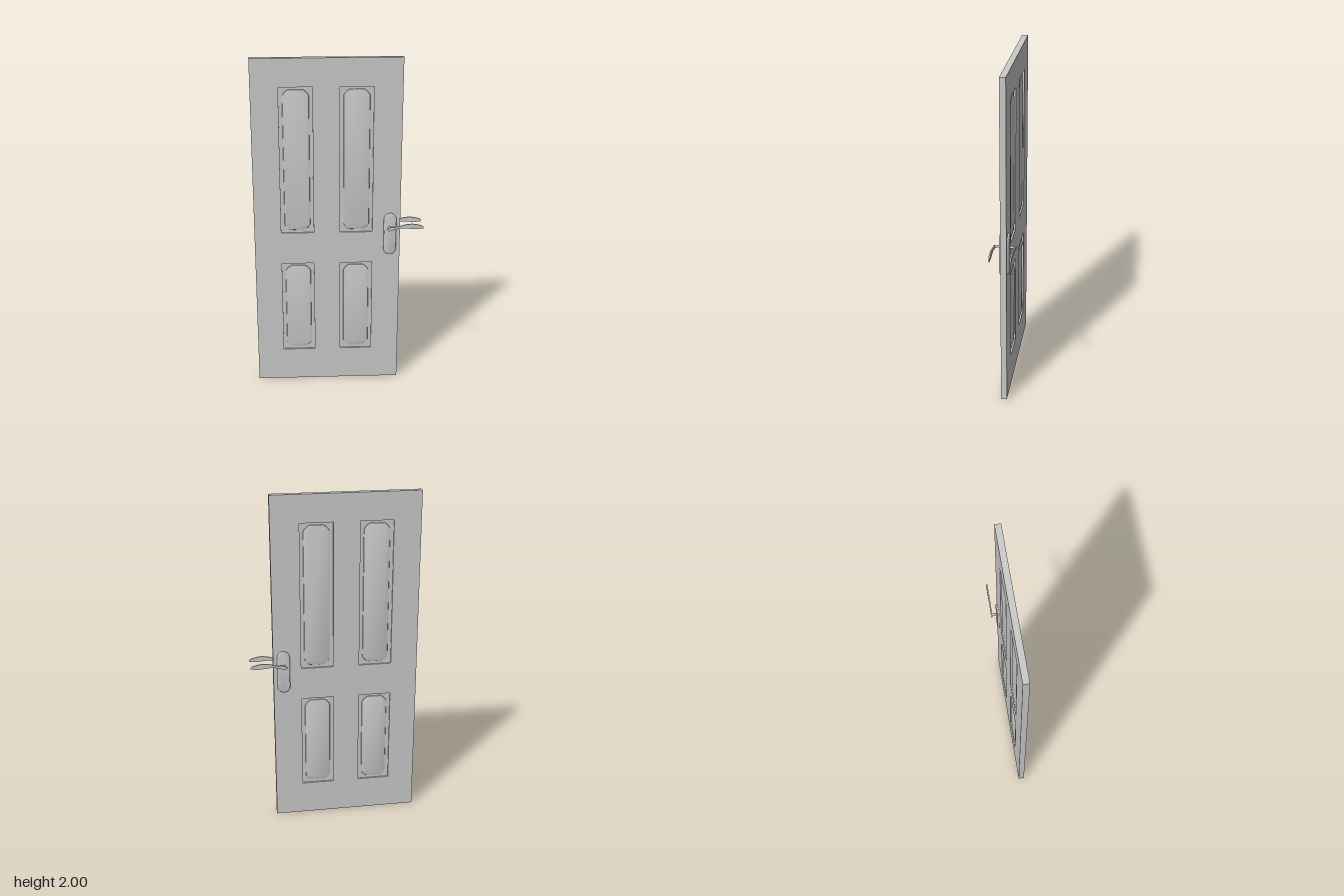
import * as THREE from 'three';
import { toCreasedNormals } from 'three/addons/utils/BufferGeometryUtils.js';

const MID_Z = -0.0015; // middle plane of the door
const HALF = 0.0175; // half thickness of the slab
const material = new THREE.MeshStandardMaterial({ color: 0xcccccc });

function addMesh(parent, geometry, name) {
  const mesh = new THREE.Mesh(geometry, material);
  mesh.name = name;
  parent.add(mesh);
  return mesh;
}

function rectangle(x0, y0, x1, y1, Type = THREE.Shape) {
  const s = new Type();
  s.moveTo(x0, y0).lineTo(x1, y0).lineTo(x1, y1).lineTo(x0, y1).closePath();
  return s;
}

// Rectangle with softly cut corners
function cutRectangle(x0, y0, x1, y1, c) {
  const s = new THREE.Shape();
  s.moveTo(x0 + c, y0).lineTo(x1 - c, y0);
  s.quadraticCurveTo(x1 - c * 0.35, y0 + c * 0.35, x1, y0 + c).lineTo(x1, y1 - c);
  s.quadraticCurveTo(x1 - c * 0.35, y1 - c * 0.35, x1 - c, y1).lineTo(x0 + c, y1);
  s.quadraticCurveTo(x0 + c * 0.35, y1 - c * 0.35, x0, y1 - c).lineTo(x0, y0 + c);
  s.quadraticCurveTo(x0 + c * 0.35, y0 + c * 0.35, x0 + c, y0);
  return s;
}

function leverShape() {
  const s = new THREE.Shape();
  s.moveTo(0.28, 0.998);
  s.splineThru([[0.29, 0.989], [0.32, 0.996], [0.35, 1.003], [0.39, 1.005], [0.45, 1.0], [0.494, 1.004]]
    .map(p => new THREE.Vector2(...p)));
  s.splineThru([[0.492, 1.013], [0.47, 1.024], [0.43, 1.031], [0.39, 1.028], [0.34, 1.015], [0.305, 1.012], [0.28, 0.998]]
    .map(p => new THREE.Vector2(...p)));
  return s;
}

// Lever set for one face; z = 0 is the middle of the door
function createHandle() {
  const handle = new THREE.Group();

  const plate = new THREE.Shape();
  const r = 0.03;
  plate.absarc(0.3, 1.049, r, 0, Math.PI);
  plate.absarc(0.3, 0.865, r, Math.PI, Math.PI * 2);
  plate.closePath();
  const plateGeometry = new THREE.ExtrudeGeometry(plate, {
    depth: 0.006, bevelThickness: 0.006, bevelSize: 0.007, bevelSegments: 3, curveSegments: 16,
  });
  plateGeometry.translate(0, 0, HALF - 0.001);
  addMesh(handle, toCreasedNormals(plateGeometry, 0.7), 'handlePlate');

  const spindle = new THREE.CylinderGeometry(0.007, 0.007, 0.032, 20);
  spindle.rotateX(Math.PI / 2).translate(0.296, 1.0, 0.043);
  addMesh(handle, spindle, 'spindle');

  const lever = new THREE.ExtrudeGeometry(leverShape(), {
    depth: 0.008, bevelEnabled: false, curveSegments: 18,
  });
  lever.translate(0, 0, 0.055);
  addMesh(handle, toCreasedNormals(lever, 0.6), 'lever');
  return handle;
}

export function createModel() {
  const door = new THREE.Group();
  door.name = 'door';
  const body = new THREE.Group();
  body.position.z = MID_Z;
  door.add(body);

  // Slab pierced by four panel openings
  const openings = [];
  for (const [x0, x1] of [[-0.339, -0.148], [0.005, 0.196]]) {
    for (const [y0, y1] of [[0.202, 0.776], [0.971, 1.838]]) openings.push([x0, y0, x1, y1]);
  }
  const slab = rectangle(-0.496, 0, 0.36, 2);
  for (const o of openings) slab.holes.push(rectangle(...o, THREE.Path));
  const slabGeometry = new THREE.ExtrudeGeometry(slab, { depth: HALF * 2, bevelEnabled: false });
  addMesh(body, slabGeometry.translate(0, 0, -HALF), 'slab');

  for (const [x0, y0, x1, y1] of openings) {
    // Sunken sheet that closes the opening
    const sheet = new THREE.BoxGeometry(x1 - x0, y1 - y0, 0.016);
    addMesh(body, sheet.translate((x0 + x1) / 2, (y0 + y1) / 2, 0), 'panelRecess');

    // Raised field with a bevelled rim on both faces
    const field = cutRectangle(x0 + 0.027, y0 + 0.023, x1 - 0.026, y1 - 0.02, 0.03);
    const fieldGeometry = new THREE.ExtrudeGeometry(field, {
      depth: 0.018, bevelThickness: 0.005, bevelSize: 0.006, bevelSegments: 2, curveSegments: 5,
    });
    fieldGeometry.translate(0, 0, -0.009);
    addMesh(body, toCreasedNormals(fieldGeometry, 0.5), 'raisedPanel');
  }

  // Handles on both faces, the back one turned round and levelled to the same edge
  const front = createHandle();
  front.name = 'frontHandle';
  const back = createHandle();
  back.name = 'backHandle';
  back.scale.z = -1;
  body.add(front, back);
  return door;
}
